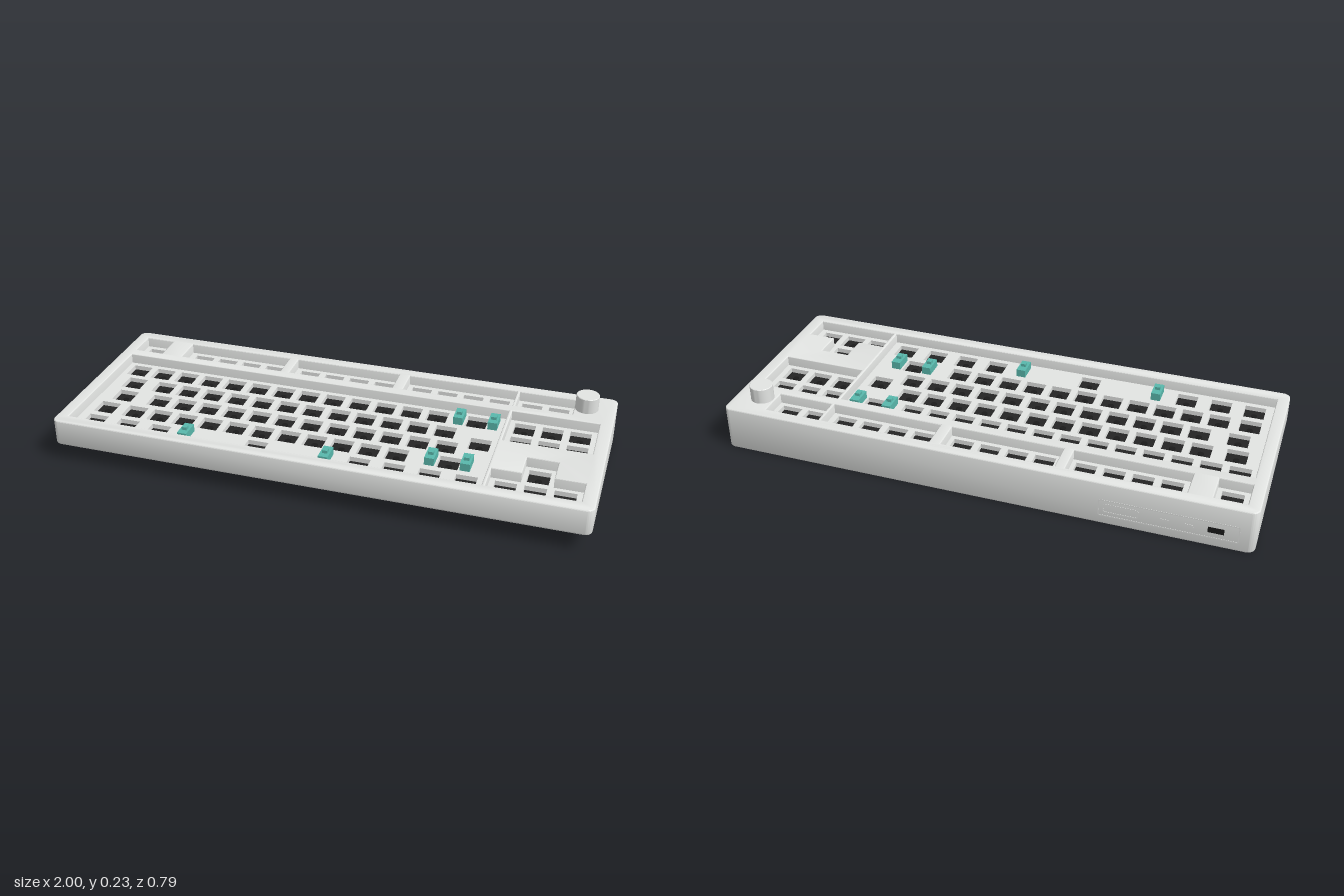
import * as THREE from 'three';
import { mergeGeometries, toCreasedNormals } from 'three/addons/utils/BufferGeometryUtils.js';

const colour = (name, hex) => Object.assign(new THREE.MeshStandardMaterial({ color: hex }), { name });

const TOP = 0.17, PLATE = 0.13, DEPTH = 0.393, U = 0.1037;
// height of the sloping underside at a given z
const slope = z => 0.0015 + 0.07 * (z + DEPTH) / (2 * DEPTH);
const tilt = -Math.atan(0.07 / (2 * DEPTH));

// shapes are drawn in (x, -z) and stood up so that extrusion runs along +y
const polygon = (pts, Type = THREE.Path) => new Type(pts.map(([x, z]) => new THREE.Vector2(x, -z)));
const rect = (x0, x1, z0, z1, Type) => polygon([[x0, z1], [x1, z1], [x1, z0], [x0, z0]], Type);

function roundRect(w, h, r) {
  const s = new THREE.Shape();
  const x = w / 2 - r, y = h / 2 - r;
  s.absarc(x, y, r, 0, Math.PI / 2);
  s.absarc(-x, y, r, Math.PI / 2, Math.PI);
  s.absarc(-x, -y, r, Math.PI, Math.PI * 1.5);
  s.absarc(x, -y, r, Math.PI * 1.5, Math.PI * 2);
  s.closePath();
  return s;
}

// move every vertex below a limit onto the sloping underside
function shear(geo, limit, offset = 0) {
  const p = geo.attributes.position;
  for (let i = 0; i < p.count; i++) {
    if (p.getY(i) < limit) p.setY(i, p.getY(i) + slope(p.getZ(i)) + offset);
  }
  geo.computeVertexNormals();
  return geo;
}

function box(w, h, d, x, y, z) {
  return new THREE.BoxGeometry(w, h, d).translate(x, y, z);
}

// key centres, row by row: [first x, count, z]
function keyCentres() {
  const rows = [
    [-0.894, 1, -0.288], [-0.685, 4, -0.288], [-0.222, 4, -0.288], [0.245, 4, -0.288], [0.683, 2, -0.288],
    [-0.894, 13, -0.131], [0.503, 1, -0.131], [0.683, 3, -0.131],
    [-0.867, 1, -0.029], [-0.738, 12, -0.029], [0.683, 3, -0.029], [0.545, 1, 0.024],
    [-0.856, 1, 0.075], [-0.711, 12, 0.075],
    [-0.882, 1, 0.179], [-0.765, 11, 0.179], [0.465, 1, 0.179], [0.787, 1, 0.179],
    [-0.235, 1, 0.282], [0.683, 3, 0.282],
  ];
  const keys = [];
  for (const [x, n, z] of rows) for (let i = 0; i < n; i++) keys.push([x + i * U, z]);
  for (const x of [-0.882, -0.753, -0.622, 0.155, 0.284, 0.414, 0.545]) keys.push([x, 0.282]);
  return keys;
}

export function createModel() {
  const model = new THREE.Group();
  const light = colour('light grey', 0xe3e5e3);
  const underside = colour('mid grey', 0xbabbba);
  const board = colour('charcoal', 0x242424);
  const black = colour('black', 0x1a1a1a);
  const teal = colour('teal', 0x59b8ac);
  const add = (name, geo, mat, parent = model) => {
    const m = new THREE.Mesh(geo, mat);
    m.name = name;
    parent.add(m);
    return m;
  };

  // case with a well for each key cluster
  const caseShape = roundRect(2, 2 * DEPTH, 0.028);
  for (const [x0, x1] of [[-0.955, -0.838], [-0.75, -0.32], [-0.283, 0.144], [0.187, 0.618], [0.628, 0.845]]) {
    caseShape.holes.push(rect(x0, x1, -0.347, -0.232));
  }
  caseShape.holes.push(
    rect(-0.955, 0.613, -0.19, 0.342),
    rect(0.625, 0.952, -0.19, 0.03),
    polygon([[0.625, 0.342], [0.952, 0.342], [0.952, 0.227], [0.845, 0.227],
      [0.845, 0.12], [0.732, 0.12], [0.732, 0.227], [0.625, 0.227]]),
  );
  const bevel = 0.004;
  const caseGeo = new THREE.ExtrudeGeometry(caseShape, {
    depth: TOP - 2 * bevel, bevelThickness: bevel, bevelSize: bevel, bevelOffset: -bevel,
    bevelSegments: 3, curveSegments: 8,
  }).rotateX(-Math.PI / 2).translate(0, bevel, 0);
  add('case', toCreasedNormals(shear(caseGeo, 0.1), 0.6), light);

  // sloping bottom cover and feet
  const coverGeo = new THREE.ExtrudeGeometry(roundRect(1.994, 2 * DEPTH - 0.006, 0.025), {
    depth: 0.003, bevelEnabled: false, curveSegments: 8,
  }).rotateX(-Math.PI / 2);
  add('bottomCover', toCreasedNormals(shear(coverGeo, 1, -0.001), 0.6), underside);
  for (const x of [-0.855, 0.855]) for (const z of [-0.305, 0.327]) {
    const foot = add('foot', new THREE.BoxGeometry(0.15, 0.006, 0.03), black);
    foot.position.set(x, slope(z) - 0.001, z);
    foot.rotation.x = tilt;
  }

  // switch plate with a square cutout per key, circuit board below
  const keys = keyCentres(), h = 0.039, thickness = 0.018;
  const plateShape = rect(-0.97, 0.97, -0.365, 0.36, THREE.Shape);
  for (const [x, z] of keys) plateShape.holes.push(rect(x - h, x + h, z - h, z + h));
  add('switchPlate', new THREE.ExtrudeGeometry(plateShape, { depth: thickness, bevelEnabled: false })
    .rotateX(-Math.PI / 2).translate(0, PLATE - thickness, 0), light);
  add('circuitBoard', box(1.94, 0.01, 0.725, 0, 0.107, 0), board);
  add('switchSockets', mergeGeometries(keys.map(([x, z]) =>
    new THREE.CylinderGeometry(0.012, 0.012, 0.003, 12).translate(x, 0.113, z))), black);

  // stabilizers for the wide keys
  for (const [x, z] of [[0.437, -0.131], [0.568, -0.131], [0.4, 0.179], [0.53, 0.179], [-0.507, 0.282], [0.037, 0.282]]) {
    const stab = new THREE.Group();
    stab.name = 'stabilizer';
    stab.position.set(x, 0, z);
    model.add(stab);
    add('housing', box(0.036, 0.038, 0.074, 0, 0.141, 0), teal, stab);
    add('stem', box(0.02, 0.016, 0.02, 0, 0.1635, 0.003), teal, stab);
  }

  // rotary knob on a short shaft
  const knob = new THREE.Group();
  knob.name = 'knob';
  knob.position.set(0.891, 0, -0.284);
  model.add(knob);
  const profile = [[0, 0.174], [0.0435, 0.174], [0.0435, 0.231], [0.0415, 0.233], [0, 0.233]];
  add('knobCap', toCreasedNormals(new THREE.LatheGeometry(
    profile.map(([r, y]) => new THREE.Vector2(r, y)), 40), 0.5), light, knob);
  add('knobShaft', new THREE.CylinderGeometry(0.018, 0.018, 0.02, 24).translate(0, 0.167, 0), light, knob);

  // rear connection panel: rim, receiver slot, two small sliders and a port
  const panel = new THREE.Group();
  panel.name = 'rearPanel';
  panel.position.set(0, 0.068, -DEPTH);
  model.add(panel);
  const rim = (w, height, x, name) => {
    const s = roundRect(w, height, 0.008);
    s.holes.push(roundRect(w - 0.008, height - 0.008, 0.005));
    add(name, new THREE.ExtrudeGeometry(s, { depth: 0.003, bevelEnabled: false })
      .translate(x, 0, -0.001), light, panel);
  };
  rim(0.49, 0.068, -0.7, 'panelRim');
  rim(0.125, 0.036, -0.535, 'receiverSlot');
  for (const x of [-0.69, -0.775]) add('modeSlider', box(0.03, 0.008, 0.003, x, 0, 0), light, panel);
  add('port', box(0.056, 0.022, 0.003, -0.865, 0, 0), black, panel);

  return model;
}
